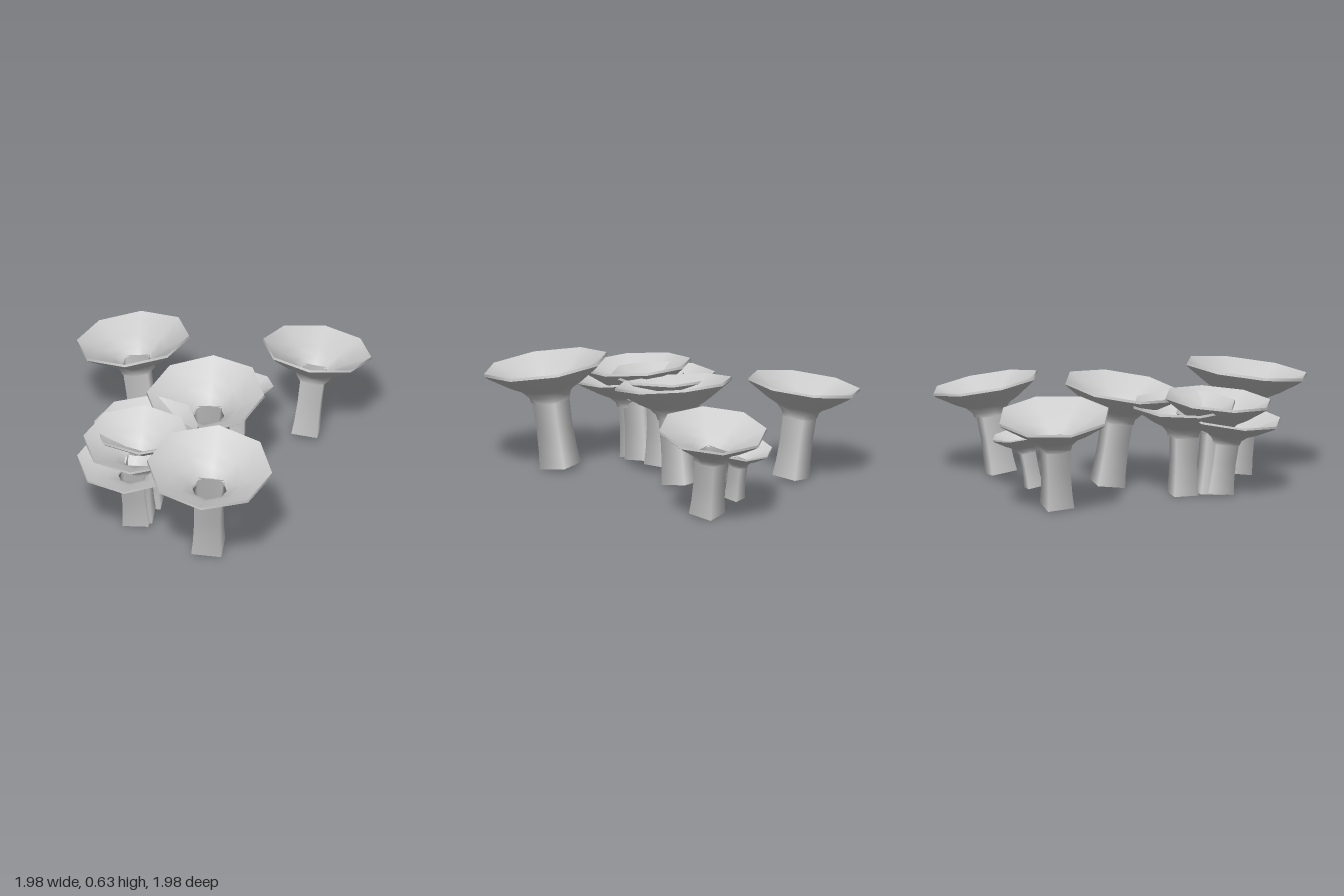
import * as THREE from 'three';

// Base x, base z, lean x, lean z, cap radius, height scale
const MUSHROOMS = [
  [-0.50, 0.585, -0.08, 0.13, 0.345, 1.0],
  [-0.03, 0.01, -0.14, 0.05, 0.325, 0.96],
  [-0.04, -0.60, -0.04, -0.15, 0.313, 0.91],
  [0.61, -0.01, 0.18, -0.03, 0.30, 0.87],
  [0.30, -0.22, 0.17, -0.08, 0.178, 0.53],
  [-0.64, 0.13, -0.13, 0.05, 0.30, 0.75],
  [-0.60, 0.11, -0.08, 0.05, 0.30, 0.91],
  [-0.48, 0.03, -0.03, -0.02, 0.29, 0.88],
];

const profile = (points) => points.map(([r, y]) => new THREE.Vector2(r, y));

export function createModel() {
  const model = new THREE.Group();
  model.name = 'mushroomCluster';
  const grey = new THREE.MeshStandardMaterial({ color: 0xcccccc, side: THREE.DoubleSide });
  grey.name = 'pale grey';

  // Hollow four-sided stem, slightly flared at the foot
  const stemGeometry = new THREE.LatheGeometry(profile([
    [0.116, 0], [0.106, 0.09], [0.1, 0.22], [0.104, 0.42],
  ]), 4);

  // Eight-sided funnel cap with an open centre: underside, thin rim, inside
  const capParts = {
    capUnderside: [[0.108, 0.37], [0.115, 0.4], [0.15, 0.437], [0.21, 0.468], [0.32, 0.54], [0.345, 0.56]],
    capRim: [[0.345, 0.56], [0.342, 0.575]],
    capInside: [[0.342, 0.575], [0.31, 0.556], [0.2, 0.495], [0.13, 0.45], [0.095, 0.41]],
  };
  const capGeometries = Object.entries(capParts).map(
    ([name, points]) => [name, new THREE.LatheGeometry(profile(points), 8)]);

  const up = new THREE.Vector3(0, 1, 0);
  MUSHROOMS.forEach(([x, z, leanX, leanZ, radius, height], i) => {
    const mushroom = new THREE.Group();
    mushroom.name = `mushroom${i + 1}`;

    const stem = new THREE.Mesh(stemGeometry, grey);
    stem.name = 'stem';
    mushroom.add(stem);

    const cap = new THREE.Group();
    cap.name = 'cap';
    for (const [name, geometry] of capGeometries) {
      const part = new THREE.Mesh(geometry, grey);
      part.name = name;
      cap.add(part);
    }
    mushroom.add(cap);

    // Lean the whole mushroom and rest its lowest corner on the ground
    const scale = radius / 0.345;
    mushroom.scale.set(scale, height, scale);
    mushroom.quaternion.setFromUnitVectors(up, new THREE.Vector3(leanX, 1, leanZ).normalize());
    mushroom.position.set(x, 0.116 * scale * Math.max(Math.abs(leanX), Math.abs(leanZ)), z);
    model.add(mushroom);
  });
  return model;
}
